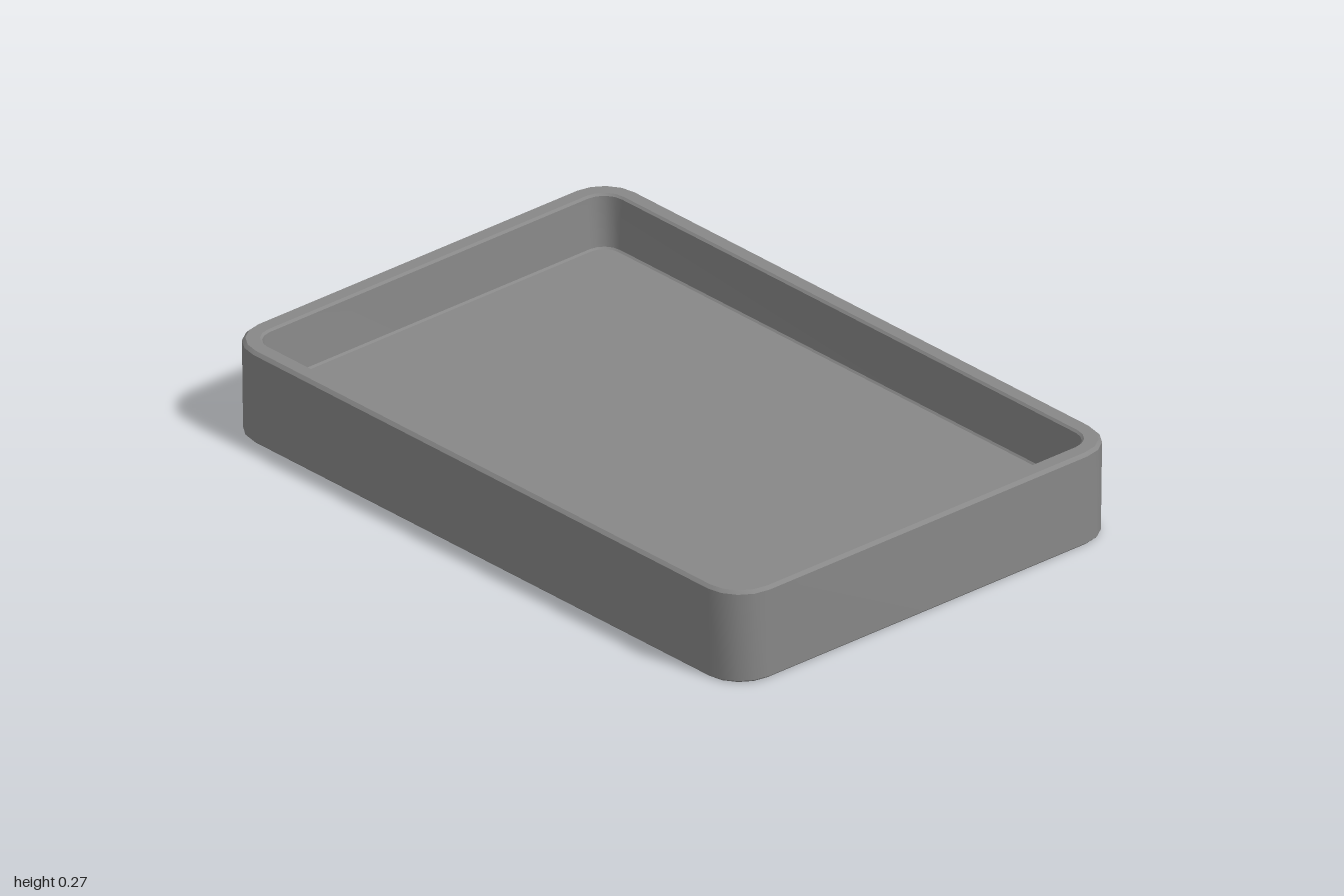
import * as THREE from 'three';
import { toCreasedNormals } from 'three/addons/utils/BufferGeometryUtils.js';

const HALF_X = 0.675, HALF_Z = 1, RADIUS = 0.115, HEIGHT = 0.27, FLOOR = 0.113;
const CORNER_STEPS = 4;

// Rounded-rectangle loop at height y, drawn in by inset from the outer wall
function ring(inset, y) {
  const points = [];
  const r = Math.max(RADIUS - inset, 0.03);
  const cx = HALF_X - inset - r, cz = HALF_Z - inset - r;
  const signs = [[1, 1], [-1, 1], [-1, -1], [1, -1]];
  signs.forEach(([sx, sz], q) => {
    for (let i = 0; i <= CORNER_STEPS; i++) {
      const a = (q + i / CORNER_STEPS) * Math.PI / 2;
      points.push([sx * cx + r * Math.cos(a), y, sz * cz + r * Math.sin(a)]);
    }
  });
  return points;
}

// Joins neighbouring loops with quads and closes both ends with flat fans
function loft(rings, startY, endY) {
  const positions = [];
  const tri = (a, b, c) => positions.push(...a, ...b, ...c);
  const n = rings[0].length;
  const first = rings[0], last = rings[rings.length - 1];
  for (let j = 0; j < n; j++) {
    const k = (j + 1) % n;
    tri([0, startY, 0], first[j], first[k]);
    for (let i = 0; i < rings.length - 1; i++) {
      const lower = rings[i], upper = rings[i + 1];
      tri(lower[j], upper[j], upper[k]);
      tri(lower[j], upper[k], lower[k]);
    }
    tri([0, endY, 0], last[k], last[j]);
  }
  const geometry = new THREE.BufferGeometry();
  geometry.setAttribute('position', new THREE.Float32BufferAttribute(positions, 3));
  return toCreasedNormals(geometry, 0.6);
}

export function createModel() {
  const group = new THREE.Group();
  group.name = 'tray';

  // Section from the underside, up the outer wall, over the rim and down to the floor
  const section = [
    [0.008, 0], [0.003, 0.005],
    [0, HEIGHT - 0.009], [0.009, HEIGHT],
    [0.047, HEIGHT], [0.053, HEIGHT - 0.006],
    [0.060, FLOOR + 0.005], [0.065, FLOOR],
  ];
  const shell = new THREE.Mesh(
    loft(section.map(([inset, y]) => ring(inset, y)), 0, FLOOR),
    new THREE.MeshStandardMaterial({ color: 0x888888 })
  );
  shell.name = 'trayShell';
  group.add(shell);
  return group;
}
